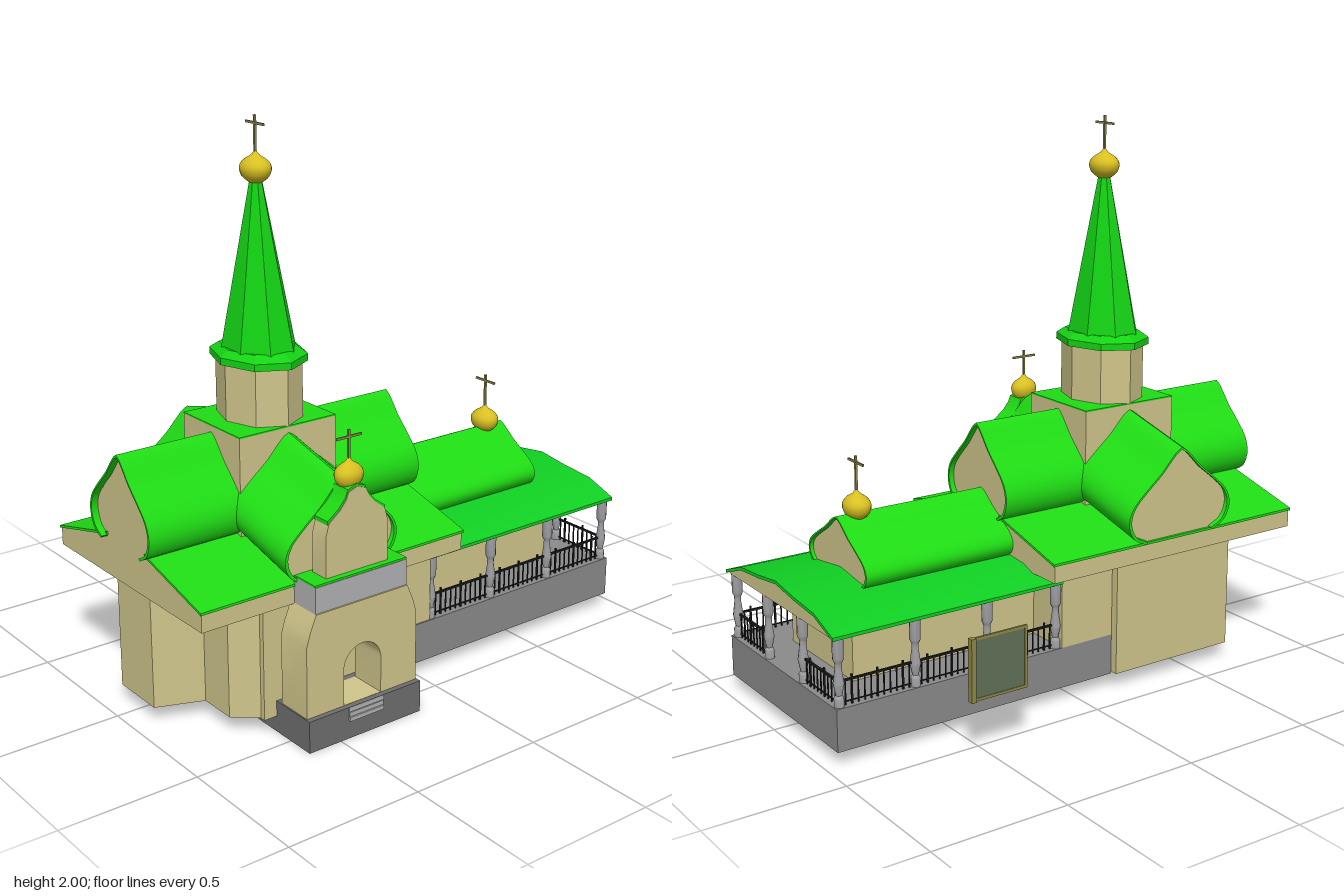
import * as THREE from 'three';
import { toCreasedNormals } from 'three/addons/utils/BufferGeometryUtils.js';

const mat = (color, flatShading = false) =>
  new THREE.MeshStandardMaterial({ color, flatShading, side: THREE.DoubleSide });
const wall = mat(0xcfc58a), green = mat(0x1fdc14), verandaGreen = mat(0x10cf22), spireGreen = mat(0x14d414, true);
const wallFlat = mat(0xcfc58a, true), gold = mat(0xd8c022), brass = mat(0x8f8848), black = mat(0x1c1c1c);
const stone = mat(0x8a8a8a), darkStone = mat(0x6e6e6e), paleStone = mat(0xb2b2b4), post = mat(0xa2a2a6);
const glass = mat(0x5f7058);

const CX = 0.015; // axis of the building
const CZ = 0.4;   // axis of the tower and the cross roof

function add(parent, name, geometry, material, x = 0, y = 0, z = 0) {
  const m = new THREE.Mesh(geometry, material);
  m.name = name;
  m.position.set(x, y, z);
  parent.add(m);
  return m;
}

// Box given by its limits
function box(parent, name, material, x0, x1, y0, y1, z0, z1) {
  return add(parent, name, new THREE.BoxGeometry(x1 - x0, y1 - y0, z1 - z0), material,
    (x0 + x1) / 2, (y0 + y1) / 2, (z0 + z1) / 2);
}

const shapeOf = pts => new THREE.Shape(pts.map(p => new THREE.Vector2(p[0], p[1])));

function extrude(shape, from, to) {
  const g = new THREE.ExtrudeGeometry(shape, { depth: to - from, bevelEnabled: false, curveSegments: 14 });
  g.translate(0, 0, from);
  return toCreasedNormals(g, 0.6);
}

// Mirror a right-hand half profile (bottom to apex) into an arch
const mirror = half => [...half, ...half.slice(0, -1).reverse().map(([x, y]) => [-x, y])];

// Ogee barrel profile: w half width, from y0 up to y1
function ogee(w, y0, y1) {
  const half = [[0.66, 0], [0.9, 0.09], [1, 0.26], [0.92, 0.43], [0.68, 0.59], [0.4, 0.75], [0.22, 0.88], [0.1, 0.96], [0, 1]];
  const curve = new THREE.SplineCurve(half.map(([x, y]) => new THREE.Vector2(x * w, y0 + y * (y1 - y0))));
  return mirror(curve.getPoints(26).map(p => [p.x, p.y]));
}

// Thin skin following an open profile
function skin(pts, yMid, k = 0.95) {
  return shapeOf([...pts, ...pts.map(([x, y]) => [x * k, yMid + (y - yMid) * k]).reverse()]);
}

// Roof sheet that follows a profile, t thick
const sheet = (pts, t) => shapeOf([...pts, ...pts.map(([x, y]) => [x, y - t]).reverse()]);

// Onion dome with a cross; the bar runs along x, or along z when turned
function cupola(parent, name, x, y, z, rx, rz, crossTop, barY, turned) {
  const g = new THREE.Group();
  g.name = name;
  g.position.set(x, y, z);
  const prof = [[0.3, 0], [0.55, 0.008], [0.86, 0.024], [1, 0.046], [0.93, 0.064], [0.66, 0.08], [0.3, 0.092], [0.1, 0.105], [0, 0.115]];
  const curve = new THREE.SplineCurve(prof.map(p => new THREE.Vector2(p[0], p[1])));
  const onion = add(g, 'onionDome', new THREE.LatheGeometry(curve.getPoints(20).map(p => new THREE.Vector2(Math.max(p.x, 0), p.y)), 20), gold);
  onion.scale.set(rx, 1, rz);
  box(g, 'crossPole', brass, -0.004, 0.004, 0.09, crossTop - y, -0.004, 0.004);
  const b = 0.052;
  if (turned) box(g, 'crossBar', brass, -0.003, 0.003, barY - y - 0.004, barY - y + 0.004, -b, b);
  else box(g, 'crossBar', brass, -b, b, barY - y - 0.004, barY - y + 0.004, -0.003, 0.003);
  parent.add(g);
}

function church(root) {
  // Faceted apse walls and hall
  const plan = [[-0.4, 0.16], [-0.4, 0.68], [-0.37, 0.68], [-0.285, 0.76], [-0.155, 0.76], [-0.09, 0.925],
    [0.12, 0.925], [0.185, 0.76], [0.33, 0.76], [0.4, 0.68], [0.42, 0.68], [0.42, 0.16]];
  const walls = extrude(shapeOf(plan.map(([x, z]) => [x, -z])), 0.058, 0.475);
  add(root, 'apseWalls', walls.rotateX(-Math.PI / 2), wallFlat);
  box(root, 'hallWalls', wall, -0.37, 0.395, 0.2, 0.475, -0.06, 0.16);

  // Gable body under the roof, low slopes and lengthwise barrel
  const arch = ogee(0.19, 0.615, 0.948);
  add(root, 'gableBody', extrude(shapeOf([[-0.45, 0.475], [0.45, 0.475], [0.45, 0.54], [0.12, 0.622], [-0.12, 0.622], [-0.45, 0.54]]), -0.14, 0.945), wall, CX);
  add(root, 'barrelGable', extrude(shapeOf(ogee(0.183, 0.612, 0.938)), -0.14, 0.945), wall, CX);
  add(root, 'barrelRoof', extrude(skin(arch, 0.76), -0.16, 0.97), green, CX);
  for (const s of [-1, 1])
    add(root, 'lowSlope', extrude(sheet([[s * 0.455, 0.547], [s * 0.12, 0.633]], 0.009), -0.147, 0.95), green, CX);

  // Cross barrels, falling outwards
  for (const s of [1, -1]) {
    const arm = new THREE.Group();
    arm.name = s > 0 ? 'leftCrossRoof' : 'rightCrossRoof';
    arm.position.set(CX, 0, CZ);
    arm.rotation.y = s * Math.PI / 2;
    const fall = new THREE.Matrix4().set(1, 0, 0, 0, 0, 1, -0.25, 0, 0, 0, 1, 0, 0, 0, 0, 1);
    add(arm, 'crossGable', extrude(shapeOf(ogee(0.223, 0.663, 0.982)), 0.1, 0.452).applyMatrix4(fall), wall);
    add(arm, 'crossBarrel', extrude(skin(ogee(0.232, 0.66, 0.992), 0.81), 0.12, 0.467).applyMatrix4(fall), green);
    root.add(arm);
  }
}

function tower(root) {
  const g = new THREE.Group();
  g.name = 'tower';
  g.position.set(CX, 0, CZ);
  box(g, 'towerBlock', wall, -0.17, 0.17, 0.5, 0.968, -0.2, 0.2);
  box(g, 'towerBlockRoof', green, -0.17, 0.17, 0.968, 0.973, -0.2, 0.2);
  // Octagonal rings, slightly narrower in depth
  const ring = (name, m, r0, r1, y0, y1, turn) => {
    const geo = new THREE.CylinderGeometry(r1, r0, y1 - y0, 8).rotateY(turn);
    add(g, name, geo, m, 0, (y0 + y1) / 2, 0).scale.z = 0.81;
  };
  ring('drum', wallFlat, 0.17, 0.17, 0.97, 1.18, 0);
  ring('eave', spireGreen, 0.192, 0.192, 1.175, 1.2, 0);
  ring('eaveSlope', spireGreen, 0.192, 0.155, 1.2, 1.222, 0);
  ring('spire', spireGreen, 0.152, 0.024, 1.215, 1.79, Math.PI / 8);
  root.add(g);
  cupola(root, 'spireCupola', CX, 1.775, CZ, 0.061, 0.051, 2, 1.973, false);
}

function veranda(root) {
  box(root, 'verandaBase', stone, -0.37, 0.4, 0.05, 0.2, -0.957, 0.16);
  box(root, 'innerRoom', wall, -0.2, 0.23, 0.2, 0.44, -0.8, -0.05);

  // Low wavy roof and the small barrel on it
  const roof = mirror([[0.388, 0.45], [0.265, 0.495], [0.13, 0.507], [0, 0.525]]);
  add(root, 'verandaGable', extrude(shapeOf([[-0.375, 0.435], [0.375, 0.435], ...roof.map(([x, y]) => [x * 0.97, y - 0.006])]), -0.955, -0.06), wall, CX);
  add(root, 'verandaRoof', extrude(sheet(roof, 0.012), -0.967, -0.055), verandaGreen, CX);
  add(root, 'smallGable', extrude(shapeOf(ogee(0.192, 0.485, 0.698)), -0.72, -0.1), wall, CX);
  add(root, 'smallBarrel', extrude(skin(ogee(0.202, 0.485, 0.707), 0.57), -0.733, -0.1), green, CX);
  cupola(root, 'verandaCupola', CX, 0.682, -0.65, 0.058, 0.048, 0.908, 0.885, false);

  // Turned posts around three sides
  const prof = [[0.017, 0], [0.017, 0.03], [0.011, 0.04], [0.019, 0.08], [0.012, 0.13], [0.012, 0.15], [0.019, 0.165], [0.019, 0.237]];
  const postGeo = toCreasedNormals(new THREE.LatheGeometry(prof.map(p => new THREE.Vector2(p[0], p[1])), 10), 0.7);
  const zs = [-0.075, -0.362, -0.648, -0.937];
  const spots = zs.flatMap(z => [[CX - 0.365, z], [CX + 0.365, z]]);
  spots.push([CX - 0.125, -0.937], [CX + 0.125, -0.937]);
  for (const [x, z] of spots) add(root, 'verandaPost', postGeo, post, x, 0.2, z);

  // Railings: handrail, foot rail and balusters between two points
  function railing(x0, z0, x1, z1) {
    const len = Math.hypot(x1 - x0, z1 - z0), n = Math.round(len / 0.024);
    const g = new THREE.Group();
    g.name = 'railing';
    g.position.set(x0, 0.2, z0);
    g.rotation.y = -Math.atan2(z1 - z0, x1 - x0);
    box(g, 'handrail', black, 0, len, 0.083, 0.09, -0.004, 0.004);
    box(g, 'footRail', black, 0, len, 0.01, 0.014, -0.002, 0.002);
    for (let i = 1; i < n; i++) {
      const x = i * len / n, top = i % 4 === 2 ? 0.102 : 0.088, t = i % 4 === 2 ? 0.003 : 0.002;
      box(g, 'baluster', black, x - t, x + t, 0, top, -t, t);
    }
    root.add(g);
  }
  for (const s of [-1, 1]) {
    const x = CX + s * 0.365;
    for (let i = 0; i < 3; i++) railing(x, zs[i], x, zs[i + 1]);
    railing(CX + s * 0.125, -0.937, x, -0.937);
  }
}

function porch(root) {
  box(root, 'porchBase', darkStone, 0.31, 0.605, 0, 0.115, 0.16, 0.63);
  const g = new THREE.Group();
  g.name = 'porch';
  g.position.set(0, 0, CZ - 0.005);
  const side = (name, shape, x0, x1, m) => add(g, name, extrude(shape, x0, x1).rotateY(Math.PI / 2), m);

  // Front wall with round arched doorway
  const front = shapeOf(mirror([[0.23, 0.113], [0.23, 0.37], [0.215, 0.42], [0.19, 0.478], [0, 0.478]]));
  const door = new THREE.Path();
  door.moveTo(-0.078, 0.116);
  door.lineTo(0.078, 0.116);
  door.lineTo(0.078, 0.245);
  door.absarc(0, 0.245, 0.078, 0, Math.PI, false);
  door.lineTo(-0.078, 0.116);
  front.holes.push(door);
  side('porchWalls', front, 0.445, 0.585, wall);
  for (let i = 0; i < 3; i++)
    box(g, 'step', paleStone, 0.5, 0.612 - i * 0.003, 0.065 + i * 0.017, 0.08 + i * 0.017, -0.072, 0.072);

  // Cornice, skirt roof and ogee headpiece
  box(g, 'cornice', paleStone, 0.465, 0.58, 0.478, 0.57, -0.19, 0.19);
  box(g, 'corniceRoof', green, 0.468, 0.578, 0.57, 0.577, -0.19, 0.19);
  const head = mirror([[0.128, 0.57], [0.128, 0.72], [0.115, 0.765], [0.07, 0.8], [0.045, 0.83], [0.035, 0.855], [0, 0.868]]);
  side('headpiece', shapeOf(head), 0.483, 0.555, wall);
  side('headpieceRoof', sheet(head.slice(2, -2).map(([z, y]) => [z * 1.03, y + 0.008]), 0.014), 0.478, 0.552, green);
  root.add(g);
  cupola(root, 'porchCupola', 0.51, 0.848, CZ - 0.005, 0.042, 0.053, 1.05, 1.025, true);
}

// Free-standing framed panel beside the veranda
function panel(root) {
  box(root, 'panelPost', brass, -0.607, -0.585, 0.215, 0.435, -0.593, -0.575);
  box(root, 'panelPost', brass, -0.6, -0.592, 0.215, 0.435, -0.38, -0.37);
  for (const y of [0.215, 0.425]) box(root, 'panelRail', brass, -0.6, -0.592, y, y + 0.01, -0.58, -0.37);
  box(root, 'panelGlass', glass, -0.598, -0.594, 0.22, 0.43, -0.578, -0.372);
}

export function createModel() {
  const root = new THREE.Group();
  root.name = 'church';
  for (const build of [church, tower, veranda, porch, panel]) build(root);
  return root;
}
